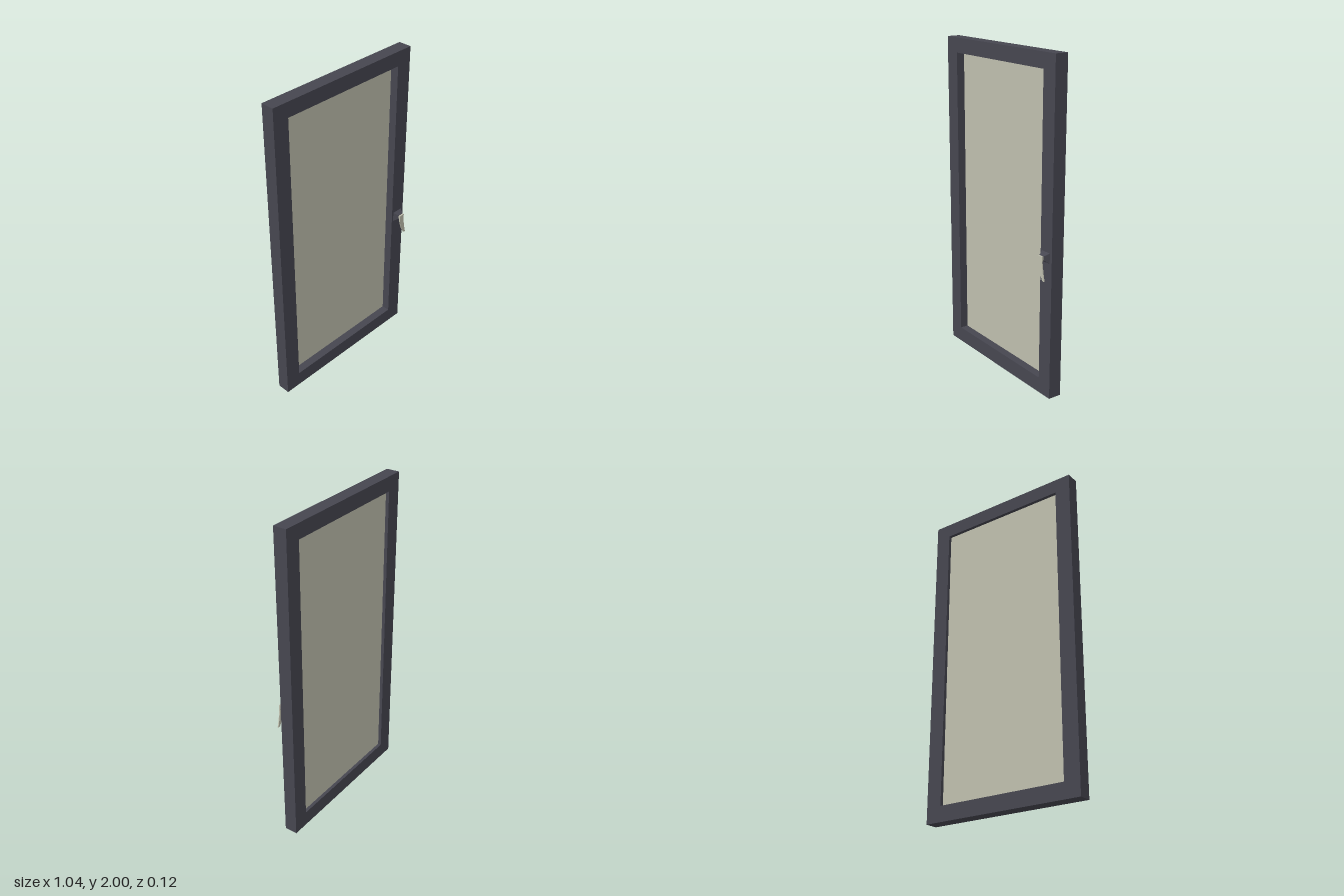
import * as THREE from 'three';

export function createModel() {
  const model = new THREE.Group();
  model.name = 'window';

  const frameMat = new THREE.MeshStandardMaterial({ color: 0x464650 });
  frameMat.name = 'dark grey frame';
  const paleMat = new THREE.MeshStandardMaterial({ color: 0xbfbfae });
  paleMat.name = 'pale pane';

  const add = (name, geometry, material, parent = model) => {
    const mesh = new THREE.Mesh(geometry, material);
    mesh.name = name;
    parent.add(mesh);
    return mesh;
  };

  const rect = (Type, x0, y0, x1, y1) => {
    const p = new Type();
    p.moveTo(x0, y0);
    p.lineTo(x1, y0);
    p.lineTo(x1, y1);
    p.lineTo(x0, y1);
    p.closePath();
    return p;
  };

  // Frame with a rectangular opening
  const outline = rect(THREE.Shape, -0.52, 0, 0.52, 2);
  outline.holes.push(rect(THREE.Path, -0.42, 0.095, 0.42, 1.91));
  const frame = new THREE.ExtrudeGeometry(outline, { depth: 0.082, bevelEnabled: false });
  add('frame', frame.translate(0, 0, -0.062), frameMat);

  // Pane, set nearer the back
  const pane = new THREE.BoxGeometry(0.84, 1.815, 0.01);
  add('pane', pane.translate(0, 1.0025, -0.036), paleMat);

  // Handle on the left stile
  const handle = new THREE.Group();
  handle.name = 'handle';
  model.add(handle);

  // Mount: a box whose front face shrinks to a small rectangle
  const mount = new THREE.BoxGeometry(1, 1, 1).toNonIndexed();
  const pos = mount.attributes.position;
  for (let i = 0; i < pos.count; i++) {
    const front = pos.getZ(i) > 0;
    const right = pos.getX(i) > 0;
    const top = pos.getY(i) > 0;
    pos.setXYZ(i,
      front ? (right ? 0.486 : 0.449) : (right ? 0.502 : 0.432),
      front ? (top ? 0.885 : 0.862) : (top ? 0.9 : 0.838),
      front ? 0.051 : 0.02);
  }
  mount.computeVertexNormals();
  add('handleMount', mount, frameMat, handle);

  // Neck joining the mount and the lever
  const neck = new THREE.BoxGeometry(0.036, 0.022, 0.008);
  add('handleNeck', neck.translate(0.467, 0.873, 0.054), paleMat, handle);

  // Thin lever curving down to a narrow tip
  const lever = new THREE.Shape();
  lever.moveTo(0.447, 0.885);
  lever.lineTo(0.449, 0.845);
  lever.quadraticCurveTo(0.462, 0.785, 0.49, 0.743);
  lever.lineTo(0.505, 0.741);
  lever.quadraticCurveTo(0.49, 0.80, 0.485, 0.845);
  lever.lineTo(0.485, 0.885);
  lever.closePath();
  const leverGeo = new THREE.ExtrudeGeometry(lever, { depth: 0.006, bevelEnabled: false, curveSegments: 6 });
  add('handleLever', leverGeo.translate(0, 0, 0.056), paleMat, handle);

  return model;
}
